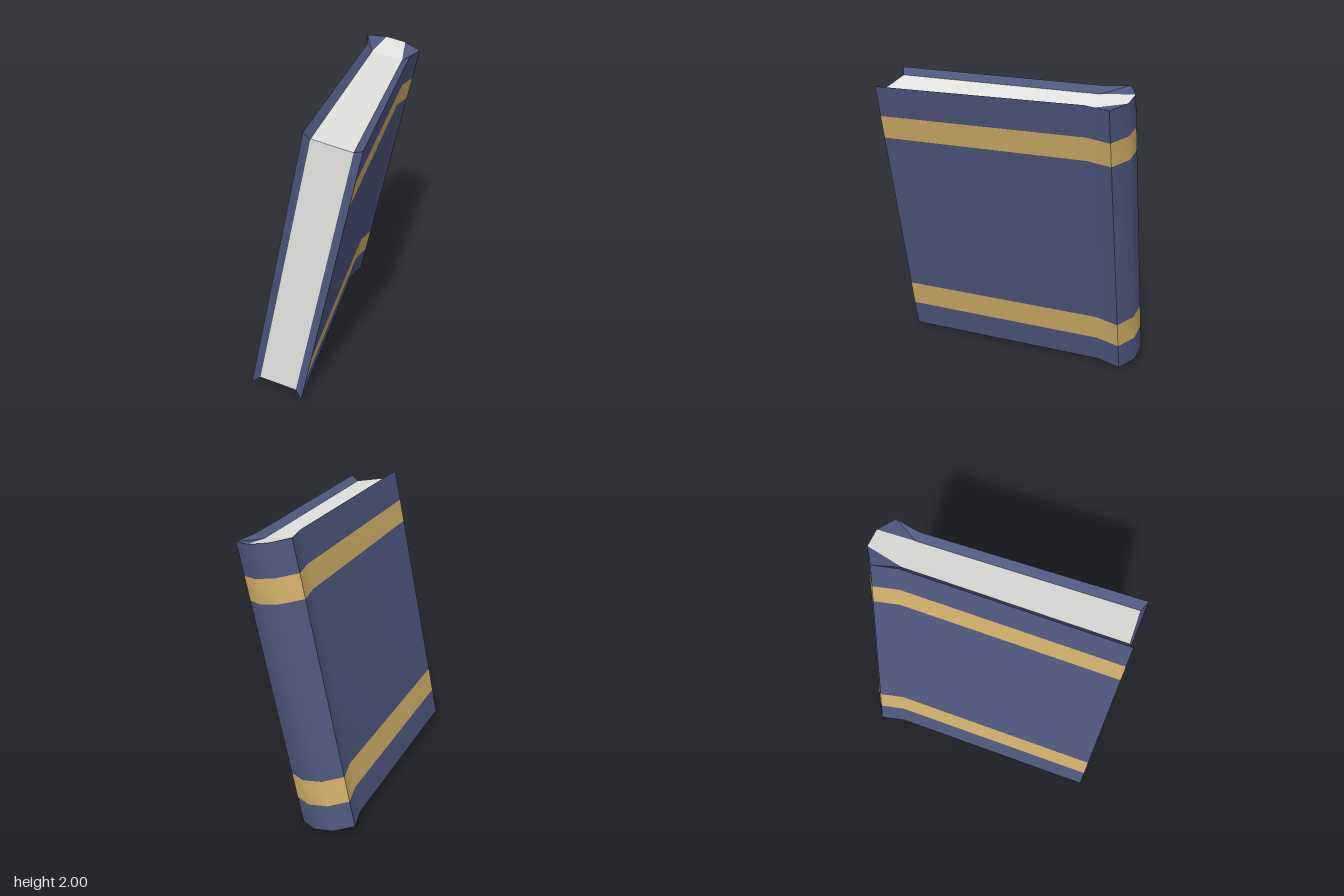
import * as THREE from 'three';

const blue = new THREE.MeshStandardMaterial({ color: 0x4f587f });
blue.name = 'blue cover';
const gold = new THREE.MeshStandardMaterial({ color: 0xd2b068 });
gold.name = 'gold band';
const paper = new THREE.MeshStandardMaterial({ color: 0xe3e3df });
paper.name = 'paper';

// Outline of the cover seen from above, [x, z], from left front around the spine to right front
const COVER = [[-0.155, 0.855], [-0.155, -0.61], [-0.195, -0.78], [-0.07, -0.855],
  [0.07, -0.855], [0.195, -0.78], [0.155, -0.61], [0.2, 0.855]];
// Matching outline of the page block, [x, z, half height]
const PAGES = [[-0.11, 0.83, 0.94], [-0.11, -0.61, 0.94], [-0.11, -0.61, 0.94], [-0.07, -0.855, 0.98],
  [0.07, -0.855, 0.98], [0.11, -0.61, 0.94], [0.11, -0.61, 0.94], [0.146, 0.83, 0.94]];
const HALF = 0.98;

const cover = (i, y) => new THREE.Vector3(COVER[i][0], y, COVER[i][1]);
const page = (i, side) => new THREE.Vector3(PAGES[i][0], side * PAGES[i][2], PAGES[i][1]);
const all = [0, 1, 2, 3, 4, 5, 6, 7];

// Surface between two rows of points; row a runs right to left below row b
function strip(name, a, b, material, smooth = false) {
  const n = a.length;
  const index = [];
  const pts = [...a, ...b];
  const tri = (i, j, k) => {
    const area = new THREE.Triangle(pts[i], pts[j], pts[k]).getArea();
    if (area > 1e-6) index.push(i, j, k);
  };
  for (let i = 0; i < n - 1; i++) {
    tri(i, n + i, n + i + 1);
    tri(i, n + i + 1, i + 1);
  }
  let geo = new THREE.BufferGeometry().setFromPoints(pts);
  geo.setIndex(index);
  if (!smooth) geo = geo.toNonIndexed();
  geo.computeVertexNormals();
  const mesh = new THREE.Mesh(geo, material);
  mesh.name = name;
  return mesh;
}

export function createModel() {
  const book = new THREE.Group();
  book.name = 'book';

  // Boards and spine, split into plain and gold bands
  const levels = [-HALF, -0.79, -0.607, 0.605, 0.766, HALF];
  const panels = { rightBoard: [0, 1, 2], spine: [2, 3, 4, 5], leftBoard: [5, 6, 7] };
  for (const [name, ids] of Object.entries(panels)) {
    const panel = new THREE.Group();
    panel.name = name;
    for (let k = 0; k < 5; k++) {
      const isGold = k % 2 === 1;
      panel.add(strip(name + (isGold ? 'Band' : 'Cover'),
        ids.map((i) => cover(i, levels[k])), ids.map((i) => cover(i, levels[k + 1])),
        isGold ? gold : blue, true));
    }
    book.add(panel);
  }

  // Bevelled inner rims of the cover
  const outer = (s) => all.map((i) => cover(i, s * HALF));
  const inner = (s) => all.map((i) => page(i, s));
  book.add(strip('topRim', outer(1), inner(1), blue));
  book.add(strip('bottomRim', inner(-1), outer(-1), blue));
  book.add(strip('frontRimRight', [page(0, -1), cover(0, -HALF)], [page(0, 1), cover(0, HALF)], blue));
  book.add(strip('frontRimLeft', [cover(7, -HALF), page(7, -1)], [cover(7, HALF), page(7, 1)], blue));

  // Page block
  const side = (ids, s) => ids.map((i) => page(i, s));
  book.add(strip('pagesTop', side([0, 1, 3], 1), side([7, 5, 4], 1), paper));
  book.add(strip('pagesBottom', side([7, 5, 4], -1), side([0, 1, 3], -1), paper));
  book.add(strip('pagesFront', side([7, 0], -1), side([7, 0], 1), paper));

  // Lean the book to one side
  book.rotation.z = -0.206;
  book.position.y = 1;
  const model = new THREE.Group();
  model.name = 'leaningBook';
  model.add(book);
  return model;
}
